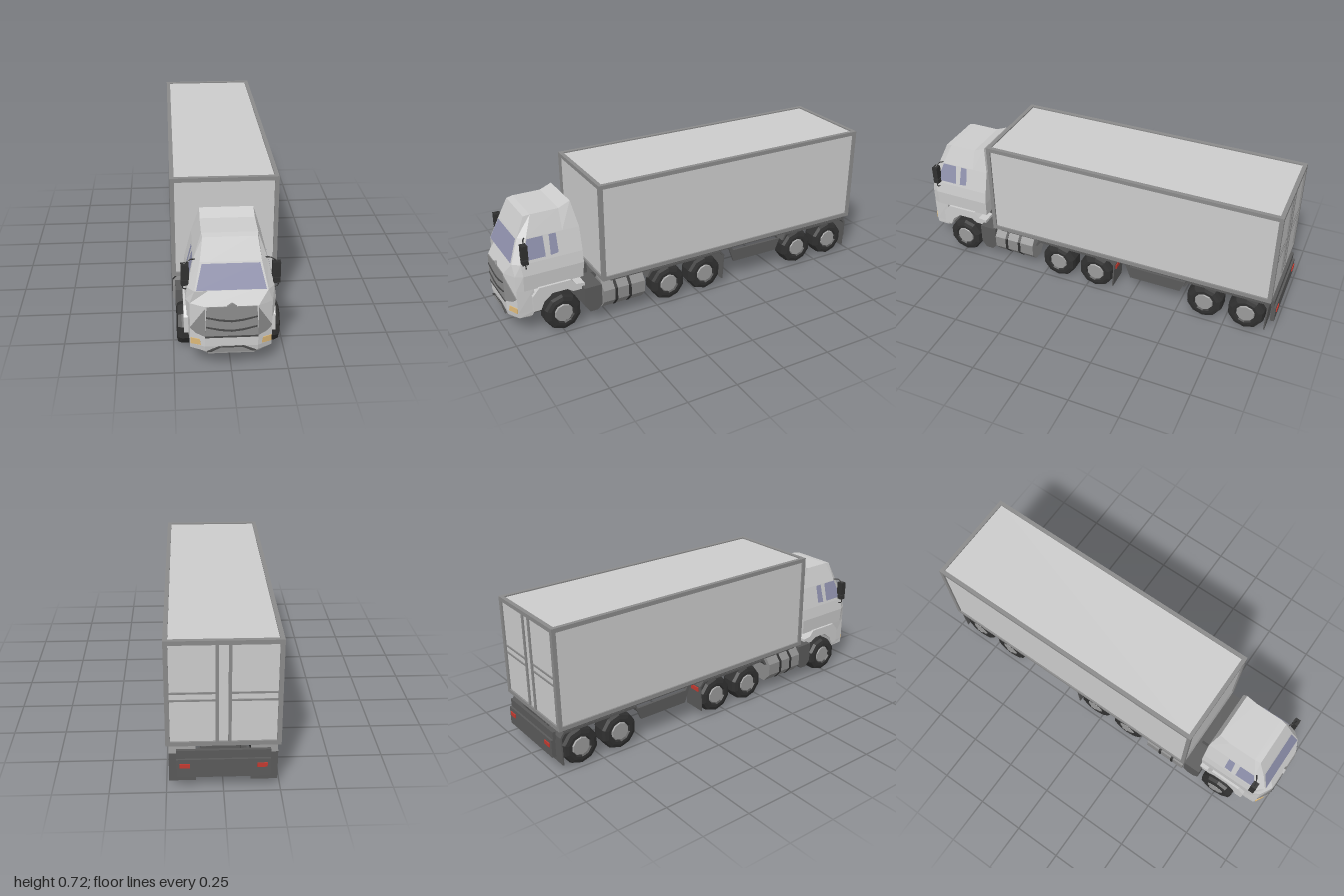
import * as THREE from 'three';

const mat = (color, side = THREE.FrontSide) =>
  new THREE.MeshStandardMaterial({ color, side, flatShading: true });
const GREY = mat(0xcccccc), FRAME = mat(0x8a8a8a), GRILLE = mat(0x8c8c8c), DARK = mat(0x5a5a5a);
const BLACK = mat(0x303030), TRIM = mat(0x4a4a4a), HUB = mat(0x9a9a9a);
const GLASS = mat(0x8f91ad, THREE.DoubleSide), AMBER = mat(0xdcb878), RED = mat(0xc23a30);

export function createModel() {
  const model = new THREE.Group();

  const add = (name, geo, material) => {
    const m = new THREE.Mesh(geo, material);
    m.name = name;
    model.add(m);
    return m;
  };
  // box given by its limits on each axis
  const box = (name, [x0, x1], [y0, y1], [z0, z1], material) => {
    const g = new THREE.BoxGeometry(x1 - x0, y1 - y0, z1 - z0);
    return add(name, g.translate((x0 + x1) / 2, (y0 + y1) / 2, (z0 + z1) / 2), material);
  };
  const span = (s, a, b) => (s > 0 ? [a, b] : [-b, -a]);
  const sides = (fn) => [1, -1].forEach(fn);
  const shapeOf = (pts) => new THREE.Shape(pts.map((p) => new THREE.Vector2(...p)));
  // outline in (z, y), extruded between two x values
  const sidePart = (name, pts, [x0, x1], material) => {
    const g = new THREE.ExtrudeGeometry(shapeOf(pts), { depth: x1 - x0, bevelEnabled: false });
    return add(name, g.rotateY(-Math.PI / 2).translate(x1, 0, 0), material);
  };
  // mirrored rings: each row lists [x, y, z] from front to back on the left side
  const loft = (name, rows, material) => {
    const h = rows[0].length, n = 2 * h, pos = [], idx = [];
    const quad = (a, b, c, d) => idx.push(a, b, c, a, c, d);
    rows.forEach((r) => {
      r.forEach((p) => pos.push(...p));
      [...r].reverse().forEach(([x, y, z]) => pos.push(-x, y, z));
    });
    for (let j = 0; j < rows.length - 1; j++)
      for (let i = 0; i < n; i++) {
        const k = (i + 1) % n;
        quad(j * n + i, j * n + k, (j + 1) * n + k, (j + 1) * n + i);
      }
    const t = (rows.length - 1) * n;
    for (let i = 0; i < h - 1; i++) {
      quad(t + i, t + i + 1, t + n - 2 - i, t + n - 1 - i);
      quad(n - 1 - i, n - 2 - i, i + 1, i);
    }
    const g = new THREE.BufferGeometry();
    g.setAttribute('position', new THREE.Float32BufferAttribute(pos, 3));
    g.setIndex(idx);
    g.computeVertexNormals();
    return add(name, g, material);
  };
  // thin pane through coplanar points
  const pane = (name, pts, material) => {
    const g = new THREE.BufferGeometry();
    g.setAttribute('position', new THREE.Float32BufferAttribute(pts.flat(), 3));
    g.setIndex(pts.slice(2).flatMap((_, i) => [0, i + 1, i + 2]));
    g.computeVertexNormals();
    return add(name, g, material);
  };
  // raised panel that follows the folded nose of the cab
  const noseZ = (x) => 0.99 - Math.max(0, Math.abs(x) - 0.115) * 0.555;
  const nosePanel = (name, pts, lift, material) => {
    const g = new THREE.ExtrudeGeometry(shapeOf(pts), { depth: lift + 0.003, bevelEnabled: false });
    const p = g.attributes.position;
    for (let i = 0; i < p.count; i++) p.setZ(i, p.getZ(i) - 0.003 + noseZ(p.getX(i)));
    g.computeVertexNormals();
    return add(name, g, material);
  };
  const mirrorPts = (pts, s) => pts.map(([x, y]) => [s * x, y]);

  // --- cab shell, and the nose with bumper below it
  const row = (y, ...pts) => pts.map(([x, z, py = y]) => [x, py, z]);
  loft('cab', [
    row(0.245, [0.115, 0.99], [0.178, 0.955], [0.19, 0.92], [0.19, 0.7], [0.19, 0.62]),
    row(0.325, [0.115, 0.99], [0.178, 0.955], [0.196, 0.92], [0.196, 0.7], [0.196, 0.615]),
    row(0.385, [0.1, 0.96], [0.158, 0.96], [0.187, 0.925], [0.187, 0.7], [0.187, 0.615]),
    row(0.5, [0.1, 0.915], [0.132, 0.915], [0.158, 0.88], [0.158, 0.7], [0.158, 0.615]),
    row(0.595, [0.09, 0.872], [0.118, 0.872], [0.122, 0.84, 0.6], [0.122, 0.7, 0.6], [0.121, 0.64, 0.625]),
  ], GREY);
  loft('bumper', [
    row(0.075, [0.1, 0.97], [0.14, 0.93], [0.15, 0.89]),
    row(0.1, [0.115, 0.985], [0.178, 0.95], [0.18, 0.885]),
    row(0.125, [0.115, 0.99], [0.178, 0.955], [0.183, 0.875]),
    row(0.25, [0.115, 0.99], [0.178, 0.955], [0.188, 0.87]),
  ], GREY);

  // --- windows
  const screenZ = (y) => 0.96 - (y - 0.385) * 0.391 + 0.003;
  pane('windscreen', [[-0.15, 0.388], [0.15, 0.388], [0.124, 0.494], [-0.124, 0.494]]
    .map(([x, y]) => [x, y, screenZ(y)]), GLASS);
  const doorX = (y) => 0.187 - (y - 0.385) * 0.252 + 0.003;
  sides((s) => {
    const win = (pts) => pts.map(([z, y]) => [s * doorX(y), y, z]);
    pane('doorWindow', win([[0.914, 0.4], [0.8, 0.4], [0.8, 0.498], [0.878, 0.498]]), GLASS);
    pane('rearSideWindow', win([[0.775, 0.4], [0.735, 0.405], [0.735, 0.498], [0.77, 0.498]]), GLASS);
  });

  // --- grille, ridges, lower intake and lamps
  nosePanel('grille', [[-0.108, 0.324], [-0.115, 0.178], [0.115, 0.178], [0.108, 0.324]].reverse(), 0.004, GRILLE);
  nosePanel('grilleLowerTrim', [[-0.115, 0.172], [0.115, 0.172], [0.115, 0.18], [-0.115, 0.18]], 0.006, TRIM);
  [0.278, 0.23].forEach((y) => nosePanel('grilleRidge', [[-0.11, y], [-0.05, y - 0.014], [0, y - 0.02],
    [0.05, y - 0.014], [0.11, y], [0.11, y - 0.006], [0.05, y - 0.022], [0, y - 0.028],
    [-0.05, y - 0.022], [-0.11, y - 0.006]], 0.008, TRIM));
  nosePanel('lowerIntake', [[-0.107, 0.098], [0.107, 0.098], [0.052, 0.127], [-0.052, 0.127]], 0.004, GRILLE);
  nosePanel('lowerIntakeTrim', [[-0.107, 0.1], [-0.052, 0.127], [0.052, 0.127], [0.107, 0.1],
    [0.09, 0.1], [0.048, 0.121], [-0.048, 0.121], [-0.09, 0.1]], 0.006, TRIM);
  add('grilleBoss', new THREE.CylinderGeometry(0.025, 0.025, 0.012, 6).rotateX(Math.PI / 2)
    .translate(0, 0.315, 0.99), GRILLE);
  sides((s) => {
    nosePanel('grilleSide', mirrorPts([[0.115, 0.315], [0.178, 0.205], [0.155, 0.186], [0.115, 0.178]], s), 0.004, GRILLE);
    nosePanel('headlamp', mirrorPts([[0.132, 0.131], [0.176, 0.126], [0.177, 0.155], [0.137, 0.158]], s), 0.004, AMBER);
  });

  // --- front wheel arches, steps and mirrors
  sides((s) => {
    sidePart('frontFender', [[0.885, 0.13], [0.885, 0.21], [0.85, 0.25], [0.69, 0.25], [0.665, 0.22],
      [0.62, 0.215], [0.62, 0.185], [0.68, 0.185], [0.71, 0.205], [0.785, 0.205], [0.83, 0.17], [0.848, 0.13]],
    span(s, 0.13, 0.203), GREY);
    box('mirrorHousing', span(s, 0.178, 0.213), [0.42, 0.49], [0.893, 0.922], BLACK);
    box('wideAngleMirror', span(s, 0.18, 0.213), [0.392, 0.415], [0.893, 0.922], BLACK);
    [[[0.148, 0.5, 0.885], [0.175, 0.505, 0.9], [0.2, 0.488, 0.907]],
      [[0.188, 0.365, 0.9], [0.205, 0.37, 0.905], [0.2, 0.4, 0.907]]].forEach((pts) => {
      const path = new THREE.CatmullRomCurve3(pts.map(([x, y, z]) => new THREE.Vector3(s * x, y, z)));
      add('mirrorArm', new THREE.TubeGeometry(path, 6, 0.003, 5), BLACK);
    });
  });

  // --- wheels
  const tyre = [[0, -0.053], [0.07, -0.053], [0.088, -0.045], [0.095, -0.03], [0.095, 0.03],
    [0.088, 0.047], [0.07, 0.053], [0.055, 0.053], [0.05, 0.044], [0, 0.044]].map((p) => new THREE.Vector2(...p));
  [0.745, 0.17, -0.045, -0.64, -0.855].forEach((z) => {
    sides((s) => {
      const wheel = new THREE.Group();
      wheel.name = 'wheel';
      const rubber = new THREE.Mesh(new THREE.LatheGeometry(tyre, 10, Math.PI / 2), BLACK);
      rubber.name = 'tyre';
      const hub = new THREE.Mesh(new THREE.CylinderGeometry(0.044, 0.05, 0.01, 10).rotateY(Math.PI / 2)
        .translate(0, 0.046, 0), HUB);
      hub.name = 'hub';
      wheel.add(rubber, hub);
      wheel.rotation.z = -s * Math.PI / 2;
      wheel.position.set(s * 0.181, 0.096, z);
      model.add(wheel);
    });
    add('axle', new THREE.CylinderGeometry(0.02, 0.02, 0.27, 8).rotateZ(Math.PI / 2).translate(0, 0.096, z), DARK);
  });

  // --- tractor chassis
  box('tractorFrame', [-0.1, 0.1], [0.11, 0.2], [-0.15, 0.88], DARK);
  box('engineUndertray', [-0.12, 0.12], [0.07, 0.24], [0.6, 0.89], DARK);
  box('couplingPlate', [-0.09, 0.09], [0.2, 0.215], [-0.1, 0.3], DARK);
  box('cabMount', [-0.09, 0.09], [0.2, 0.25], [0.56, 0.64], DARK);
  sides((s) => {
    sidePart('equipmentBox', [[0.635, 0.2], [0.635, 0.1], [0.61, 0.065], [0.57, 0.065], [0.545, 0.09], [0.545, 0.2]],
      span(s, 0.1, 0.235), DARK);
    const tank = (r, z0, z1) => new THREE.CylinderGeometry(r, r, z1 - z0, 8, 1, false, Math.PI / 8)
      .rotateX(Math.PI / 2).scale(0.9, 1.05, 1).translate(s * 0.182, 0.132, (z0 + z1) / 2);
    add('fuelTank', tank(0.077, 0.315, 0.54), GRILLE);
    [0.39, 0.465].forEach((z) => add('tankStrap', tank(0.079, z, z + 0.014), BLACK));
    sidePart('driveMudguard', [[0.3, 0.17], [0.28, 0.207], [-0.135, 0.207], [-0.158, 0.18], [-0.15, 0.04],
      [-0.144, 0.04], [-0.15, 0.175], [-0.13, 0.197], [0.27, 0.197], [0.29, 0.17]], span(s, 0.12, 0.238), DARK);
    box('tractorTailLamp', span(s, 0.17, 0.225), [0.15, 0.172], [-0.163, -0.15], RED);
  });

  // --- cargo box: edge beams around inset panels
  const X = 0.25, Y0 = 0.222, Y1 = 0.725, Z0 = -0.975, Z1 = 0.545, T = 0.02;
  box('cargoPanels', [-X + 0.008, X - 0.008], [Y0 + 0.006, Y1 - 0.006], [Z0 + 0.008, Z1 - 0.008], GREY);
  sides((s) => {
    [[Y0, Y0 + T], [Y1 - T, Y1]].forEach((y) => box('sideBeam', span(s, X - T, X), y, [Z0, Z1], FRAME));
    [[Z0, Z0 + T], [Z1 - T, Z1]].forEach((z) => {
      box('cornerPost', span(s, X - T, X), [Y0 + T, Y1 - T], z, FRAME);
      box('crossBeam', [-X + T, X - T], s > 0 ? [Y0, Y0 + T] : [Y1 - T, Y1], z, FRAME);
    });
    box('doorBar', span(s, 0.02, 0.034), [Y0 + T, Y1 - T], [Z0 + 0.001, Z0 + 0.012], FRAME);
    [0.44, 0.475].forEach((y) =>
      box('doorRail', span(s, 0.034, X - T), [y, y + 0.008], [Z0 + 0.003, Z0 + 0.012], FRAME));
  });

  // --- trailer chassis
  box('trailerDeck', [-0.242, 0.242], [0.212, 0.224], [-0.95, 0.5], DARK);
  for (let z = -0.16; z > -0.6; z -= 0.085)
    box('crossMember', [-0.2, 0.2], [0.185, 0.214], [z - 0.02, z], DARK);
  box('bogie', [-0.1, 0.1], [0.12, 0.19], [-0.92, -0.57], DARK);
  sides((s) => {
    box('trailerRail', span(s, 0.075, 0.1), [0.15, 0.214], [-0.97, -0.18], DARK);
    sidePart('sideSkirt', [[-0.2, 0.2], [-0.235, 0.108], [-0.505, 0.108], [-0.53, 0.172], [-0.23, 0.175], [-0.21, 0.21]]
      .reverse(), span(s, 0.2, 0.212), DARK);
    sidePart('trailerMudguard', [[-0.53, 0.17], [-0.55, 0.208], [-0.945, 0.208], [-0.965, 0.18], [-0.96, 0.035],
      [-0.954, 0.035], [-0.957, 0.175], [-0.94, 0.197], [-0.555, 0.197], [-0.54, 0.17]], span(s, 0.12, 0.238), DARK);
    box('bumperBracket', span(s, 0.08, 0.11), [0.1, 0.2], [-0.985, -0.95], DARK);
    box('trailerTailLamp', span(s, 0.145, 0.19), [0.125, 0.145], [-1, -0.99], RED);
  });
  box('rearBumper', [-0.205, 0.205], [0.075, 0.165], [-0.995, -0.975], DARK);
  box('rearBumperTop', [-0.205, 0.205], [0.165, 0.205], [-0.985, -0.97], DARK);

  return model;
}
